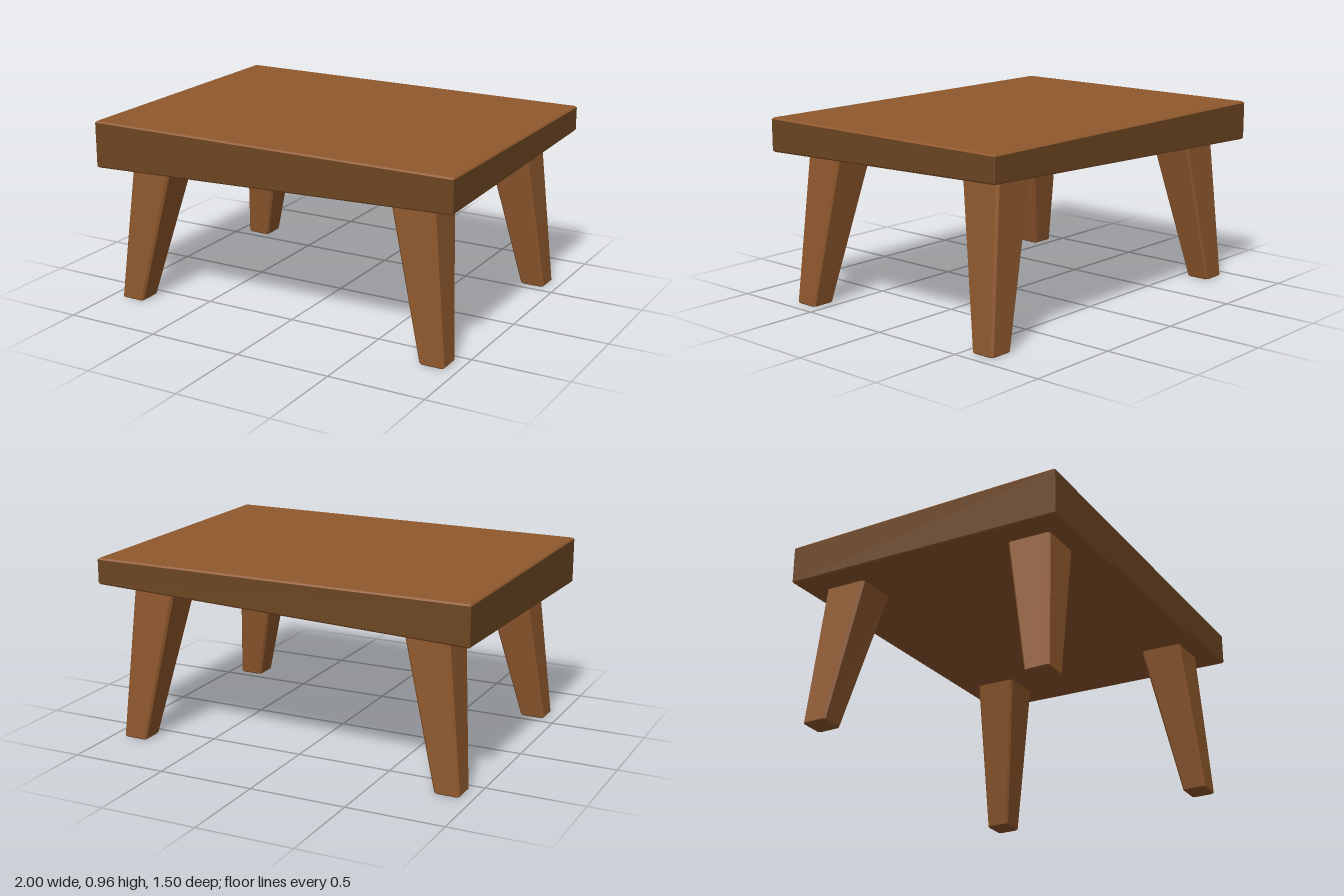
import * as THREE from 'three';

// Height of the slanted underside of the top
const underside = (x, z) => 0.775 + 0.035 * x - 0.0267 * z;

// Rectangle with clipped corners, counter-clockwise from above; y may be a rule
function ring(x0, x1, z0, z1, clip, y) {
  const c = clip;
  return [
    [x1 - c, z1], [x1, z1 - c], [x1, z0 + c], [x1 - c, z0],
    [x0 + c, z0], [x0, z0 + c], [x0, z1 - c], [x0 + c, z1],
  ].map(([x, z]) => [x, typeof y === 'function' ? y(x, z) : y, z]);
}

// Flat-shaded solid through rings from bottom to top;
// slots gives a material index for bottom cap, each band, top cap
function loft(rings, slots) {
  const pos = [];
  const geo = new THREE.BufferGeometry();
  const n = rings[0].length;
  const addGroup = (start, slot) => geo.addGroup(start, pos.length / 3 - start, slot);
  const cap = (r, up, slot) => {
    const start = pos.length / 3;
    for (let i = 1; i < n - 1; i++) {
      pos.push(...r[0], ...(up ? r[i] : r[i + 1]), ...(up ? r[i + 1] : r[i]));
    }
    addGroup(start, slot);
  };
  cap(rings[0], false, slots[0]);
  for (let k = 0; k < rings.length - 1; k++) {
    const start = pos.length / 3;
    const lo = rings[k], hi = rings[k + 1];
    for (let i = 0; i < n; i++) {
      const j = (i + 1) % n;
      pos.push(...lo[i], ...lo[j], ...hi[j], ...lo[i], ...hi[j], ...hi[i]);
    }
    addGroup(start, slots[k + 1]);
  }
  cap(rings[rings.length - 1], true, slots[rings.length]);
  geo.setAttribute('position', new THREE.Float32BufferAttribute(pos, 3));
  geo.computeVertexNormals();
  return geo;
}

export function createModel() {
  const wood = new THREE.MeshStandardMaterial({ color: 0x8f582d });
  wood.name = 'warm brown wood';
  const edgeWood = new THREE.MeshStandardMaterial({ color: 0x6c4621 });
  edgeWood.name = 'dark brown edge wood';
  const table = new THREE.Group();
  table.name = 'table';

  // Wedge-shaped top with narrow bevels and darker edges
  const b = 0.008, top = 0.965;
  const slab = new THREE.Mesh(loft([
    ring(-1 + b, 1 - b, -0.75 + b, 0.75 - b, 0.003, underside),
    ring(-1, 1, -0.75, 0.75, 0.003, (x, z) => underside(x, z) + b),
    ring(-1, 1, -0.75, 0.75, 0.003, top - b),
    ring(-1 + b, 1 - b, -0.75 + b, 0.75 - b, 0.003, top),
  ], [0, 0, 1, 0, 0]), [wood, edgeWood]);
  slab.name = 'tableTop';
  table.add(slab);

  // Splayed, tapered legs cut to meet the slanted underside
  const span = (s, a, c) => (s > 0 ? [a, c] : [-c, -a]);
  for (const sx of [-1, 1]) {
    for (const sz of [-1, 1]) {
      const foot = (inset, y) => ring(
        ...span(sx, 0.805 + inset, 0.936 - inset),
        ...span(sz, 0.545 + inset, 0.674 - inset), 0.01, y);
      const leg = new THREE.Mesh(loft([
        foot(0.006, 0),
        foot(0, 0.006),
        ring(...span(sx, 0.625, 0.856), ...span(sz, 0.414, 0.641), 0.012,
          (x, z) => underside(x, z) + 0.002),
      ], [0, 0, 0, 0]), [wood]);
      leg.name = (sz > 0 ? 'front' : 'back') + (sx > 0 ? 'Left' : 'Right') + 'Leg';
      table.add(leg);
    }
  }
  return table;
}
